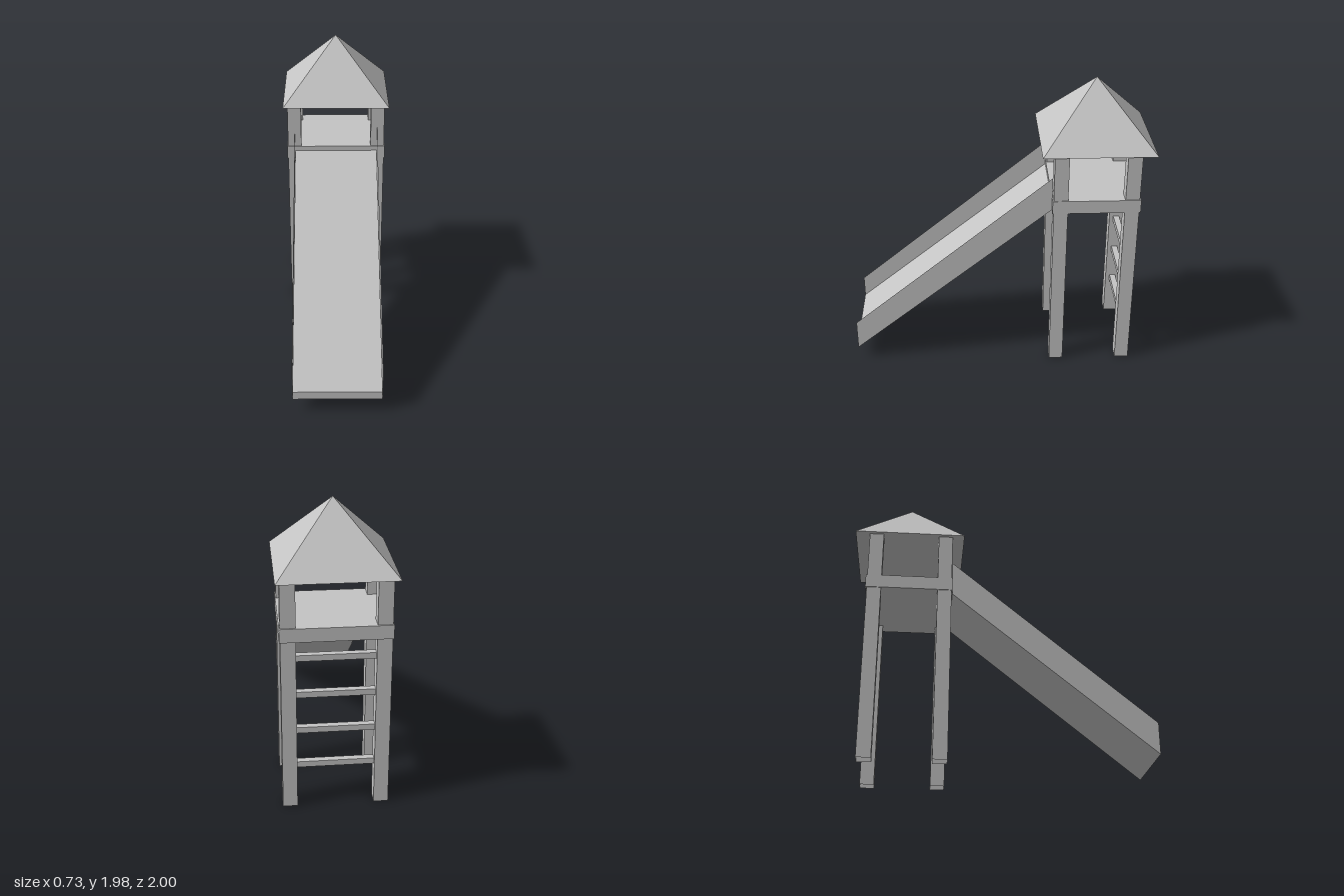
import * as THREE from 'three';

const grey = new THREE.MeshStandardMaterial({ color: 0xc4c4c4, side: THREE.DoubleSide });
grey.name = 'light grey';

// Crisp facets for low-sided solids
function flat(geometry) {
  const g = geometry.toNonIndexed();
  g.computeVertexNormals();
  return g;
}

export function createModel() {
  const model = new THREE.Group();
  model.name = 'playgroundSlideTower';

  function add(name, geometry, x, y, z) {
    const mesh = new THREE.Mesh(geometry, grey);
    mesh.name = name;
    mesh.position.set(x, y, z);
    model.add(mesh);
    return mesh;
  }

  // Square hollow posts, open at the ends
  const postWidth = 0.094, postHeight = 1.578;
  const postGeometry = flat(new THREE.CylinderGeometry(
    postWidth / Math.SQRT2, postWidth / Math.SQRT2, postHeight, 4, 1, true).rotateY(Math.PI / 4));
  for (const x of [-0.292, 0.292]) {
    add('frontPost', postGeometry, x, postHeight / 2, -0.392);
    add('backPost', postGeometry, x, postHeight / 2, -0.858);
  }

  // Platform
  add('platform', new THREE.BoxGeometry(0.69, 0.09, 0.576), 0, 1.213, -0.626);

  // Pyramid roof
  const roofHalf = 0.367;
  add('roof', flat(new THREE.ConeGeometry(roofHalf * Math.SQRT2, 0.405, 4).rotateY(Math.PI / 4)),
    0, 1.7775, -0.633);

  // Ladder rungs between the back posts
  const rungGeometry = new THREE.BoxGeometry(0.5, 0.04, 0.042);
  for (let i = 0; i < 4; i++) add('ladderRung', rungGeometry, 0, 0.295 + i * 0.25, -0.86);

  // Slide profiles drawn as [z, y], turned so the profile runs along z
  const profile = (points) => new THREE.Shape(points.map(([z, y]) => new THREE.Vector2(-z, y)));

  // Sloping bed
  const bed = profile([[1, 0.09], [1, 0.147], [-0.34, 1.227], [-0.34, 1.17]]);
  const bedWidth = 0.576;
  add('slideBed', new THREE.ExtrudeGeometry(bed, { depth: bedWidth, bevelEnabled: false })
    .translate(0, 0, -bedWidth / 2).rotateY(Math.PI / 2), 0, 0, 0);

  // Thin side walls
  const wall = profile([[1, 0.09], [1, 0.298], [-0.34, 1.4], [-0.34, 1.17]]);
  const wallGeometry = new THREE.ShapeGeometry(wall).rotateY(Math.PI / 2);
  for (const x of [-0.29, 0.29]) add('slideWall', wallGeometry, x, 0, 0);

  return model;
}
